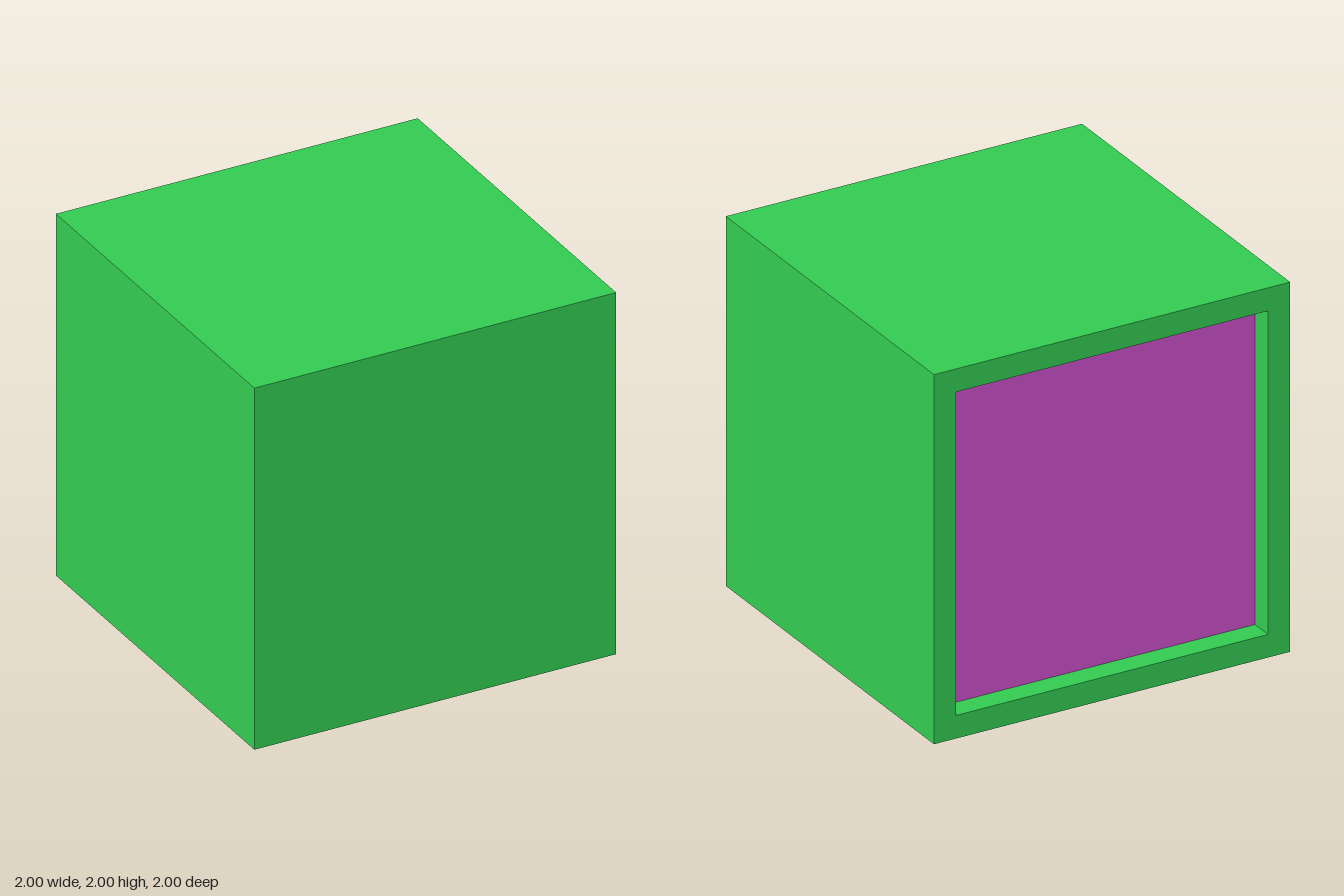
import * as THREE from 'three';
import { mergeGeometries } from 'three/addons/utils/BufferGeometryUtils.js';

const HALF = 1;         // half the cube's side
const OPENING = 0.875;  // half the recess opening
const DEPTH = 0.125;    // depth of the recess

// Square outline, used for the rim and its hole
function square(half, Type) {
  return new Type([[-1, -1], [1, -1], [1, 1], [-1, 1]].map(([x, y]) => new THREE.Vector2(x * half, y * half)));
}

export function createModel() {
  const group = new THREE.Group();
  const parts = [];

  // Front face
  parts.push(new THREE.PlaneGeometry(2 * HALF, 2 * HALF).translate(0, 0, HALF));

  // Back rim around the square opening
  const rim = square(HALF, THREE.Shape);
  rim.holes.push(square(OPENING, THREE.Path));
  parts.push(new THREE.ShapeGeometry(rim).rotateY(Math.PI).translate(0, 0, -HALF));

  // Four outer sides, and the four recess walls facing inward
  for (let i = 0; i < 4; i++) {
    const turn = i * Math.PI / 2;
    parts.push(new THREE.PlaneGeometry(2 * HALF, 2 * HALF)
      .rotateY(Math.PI / 2).translate(HALF, 0, 0).rotateZ(turn));
    parts.push(new THREE.PlaneGeometry(DEPTH, 2 * OPENING)
      .rotateY(-Math.PI / 2).translate(OPENING, 0, -HALF + DEPTH / 2).rotateZ(turn));
  }

  const body = new THREE.Mesh(mergeGeometries(parts), new THREE.MeshStandardMaterial({ color: 0x33cc52 }));
  body.name = 'cubeBody';

  // Coloured panel at the bottom of the recess
  const panel = new THREE.Mesh(
    new THREE.PlaneGeometry(2 * OPENING, 2 * OPENING).rotateY(Math.PI),
    new THREE.MeshStandardMaterial({ color: 0xcc4fcc })
  );
  panel.name = 'recessedBackPanel';
  panel.position.z = -HALF + DEPTH;

  group.add(body, panel);
  group.children.forEach((mesh) => { mesh.position.y = HALF; });
  return group;
}
